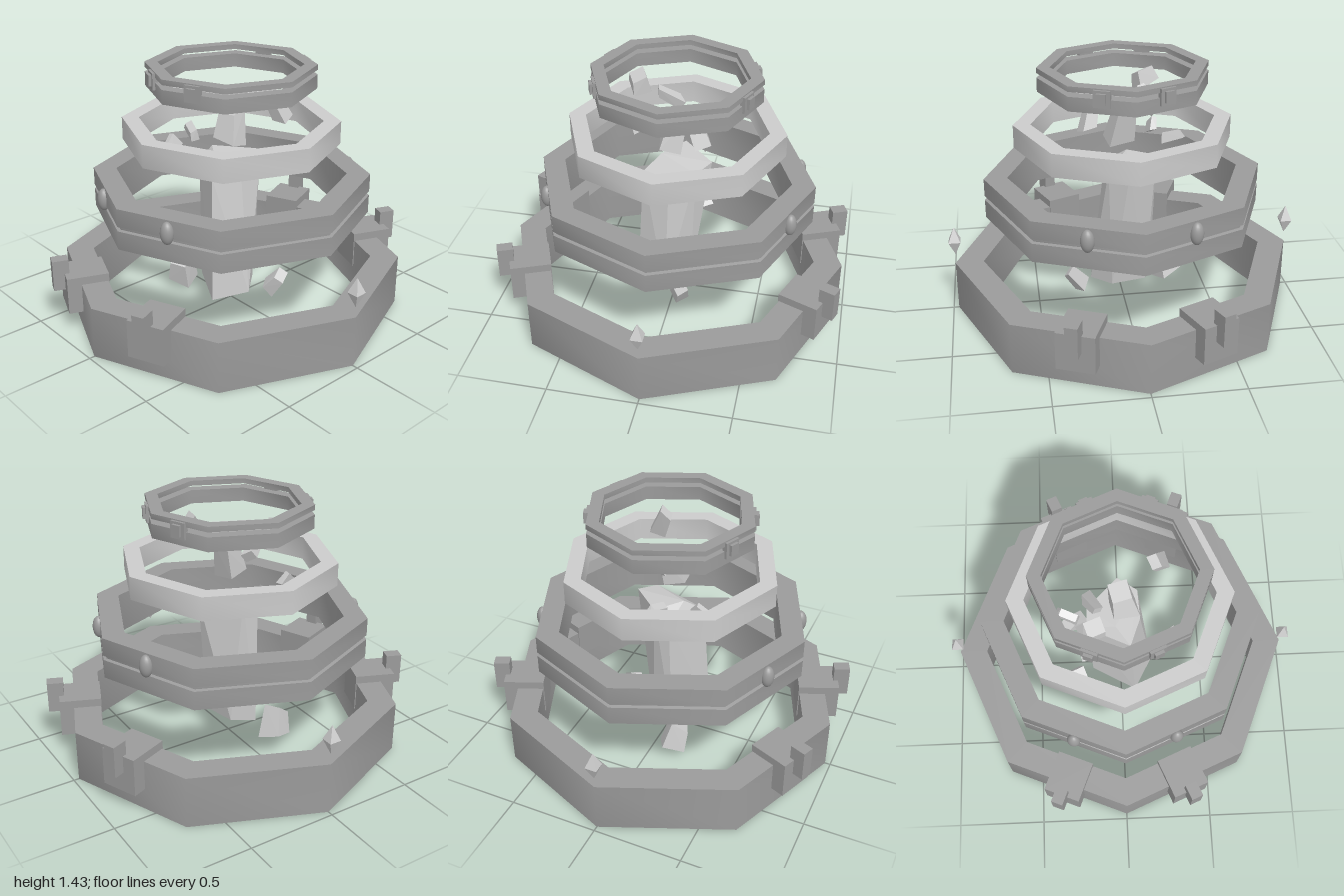
import * as THREE from 'three';
import { toCreasedNormals } from 'three/addons/utils/BufferGeometryUtils.js';
import { ConvexGeometry } from 'three/addons/geometries/ConvexGeometry.js';

const light = new THREE.MeshStandardMaterial({ color: 0xcccccc });
const dark = new THREE.MeshStandardMaterial({ color: 0x9b9b9b });
const FACE = Math.PI / 8; // middle of an octagon side

export function createModel() {
  const model = new THREE.Group();

  function add(name, geometry, material, parent = model) {
    const mesh = new THREE.Mesh(geometry, material);
    mesh.name = name;
    parent.add(mesh);
    return mesh;
  }

  // Octagonal ring turned from a closed profile of [radius, height]
  function ring(name, profile, material) {
    const points = [...profile, profile[0]].map(([r, y]) => new THREE.Vector2(r, y));
    return add(name, toCreasedNormals(new THREE.LatheGeometry(points, 8), 1.0), material);
  }
  const band = (inner, outer, y0, y1) => [[outer, y0], [outer, y1], [inner, y1], [inner, y0]];

  ring('baseRing', band(0.81, 0.97, 0, 0.293), dark);
  ring('groovedRing', [
    [0.78, 0.575], [0.78, 0.68], [0.762, 0.685], [0.762, 0.7], [0.78, 0.705],
    [0.78, 0.807], [0.65, 0.807], [0.65, 0.575],
  ], dark);
  ring('plainRing', band(0.51, 0.605, 0.985, 1.115), light);
  ring('crownLowerRing', band(0.395, 0.467, 1.3, 1.378), dark);
  ring('crownUpperRing', band(0.395, 0.467, 1.404, 1.433), dark);

  // Fittings on the two front and two back octagon sides; local +z points outward
  for (const angle of [FACE, -FACE, Math.PI - FACE, Math.PI + FACE]) {
    const side = new THREE.Group();
    side.name = 'sideFittings';
    side.rotation.y = angle;
    model.add(side);

    const box = (name, w, h, d, y, z) =>
      add(name, new THREE.BoxGeometry(w, h, d), dark, side).position.set(0, y, z);
    box('bracketBlock', 0.21, 0.213, 0.232, 0.232, 0.859);
    box('bracketPost', 0.068, 0.178, 0.09, 0.331, 0.993);
    box('crownClip', 0.088, 0.09, 0.03, 1.382, 0.431);
    box('crownClipStud', 0.05, 0.06, 0.02, 1.384, 0.452);

    const gem = add('ovalGem', new THREE.SphereGeometry(1, 20, 14), dark, side);
    gem.scale.set(0.037, 0.063, 0.034);
    gem.position.set(0, 0.737, 0.728);
  }

  // Floating diamonds on both sides
  for (const s of [1, -1]) {
    const points = [[0, 0.085, 0], [0, -0.085, 0]];
    for (const a of [-1, 1]) for (const b of [-1, 1]) points.push([a * 0.033, 0, b * 0.033]);
    const diamond = new ConvexGeometry(points.map((p) => new THREE.Vector3(...p)));
    add('floatingDiamond', diamond, light).position.set(s * 0.965, 0.437, 0);
  }

  // Leaning central crystal, broken off at an angle at the top
  const core = [
    [-0.17, 0.12, 0.08], [0.085, 0.09, 0.215], [0.19, 0.12, 0.03], [0.08, 0.14, -0.1], [-0.12, 0.14, -0.06],
    [-0.19, 0.83, 0.07], [0.05, 0.82, 0.18], [0.11, 0.82, 0.02], [0.1, 0.87, -0.13], [-0.01, 0.89, -0.2],
    [-0.185, 0.905, -0.02], [-0.03, 0.9, 0.09],
  ];
  add('centralCrystal', new ConvexGeometry(core.map((p) => new THREE.Vector3(...p))), light);

  // Loose shards: position, size, tilt
  const shards = [
    [[0.2, 1.22, -0.145], [0.07, 0.18, 0.09], [0.35, 0.3, 0.25]],
    [[-0.15, 1.28, 0.24], [0.13, 0.08, 0.1], [0.2, 0.4, -0.3]],
    [[-0.15, 1.2, 0.07], [0.06, 0.15, 0.06], [0.9, 0, -0.4]],
    [[0.01, 1.08, 0.01], [0.14, 0.17, 0.12], [-0.25, 0.2, 0.15]],
    [[-0.2, 0.975, 0.26], [0.04, 0.07, 0.1], [0.5, 0.2, 0.2]],
    [[-0.285, 0.985, 0.05], [0.13, 0.05, 0.05], [0.2, -0.4, -0.2]],
    [[-0.275, 0.47, -0.1], [0.08, 0.12, 0.08], [0.1, 0.6, 0.8]],
    [[-0.27, 0.14, 0.15], [0.13, 0.16, 0.13], [0.3, 0.4, -0.2]],
    [[0.29, 0.19, -0.08], [0.08, 0.13, 0.08], [0.3, 0.6, -0.8]],
  ];
  for (const [position, [w, h, d], tilt] of shards) {
    const corners = [];
    for (const x of [-0.5, 0.5]) for (const z of [-0.5, 0.5]) {
      corners.push(new THREE.Vector3(x * w, -h * (0.5 + 0.2 * x), z * d));
      corners.push(new THREE.Vector3(x * w * 0.75, h * (0.5 - 0.25 * z), z * d * 0.8));
    }
    const shard = add('looseShard', new ConvexGeometry(corners), light);
    shard.position.set(...position);
    shard.rotation.set(...tilt);
  }

  return model;
}
